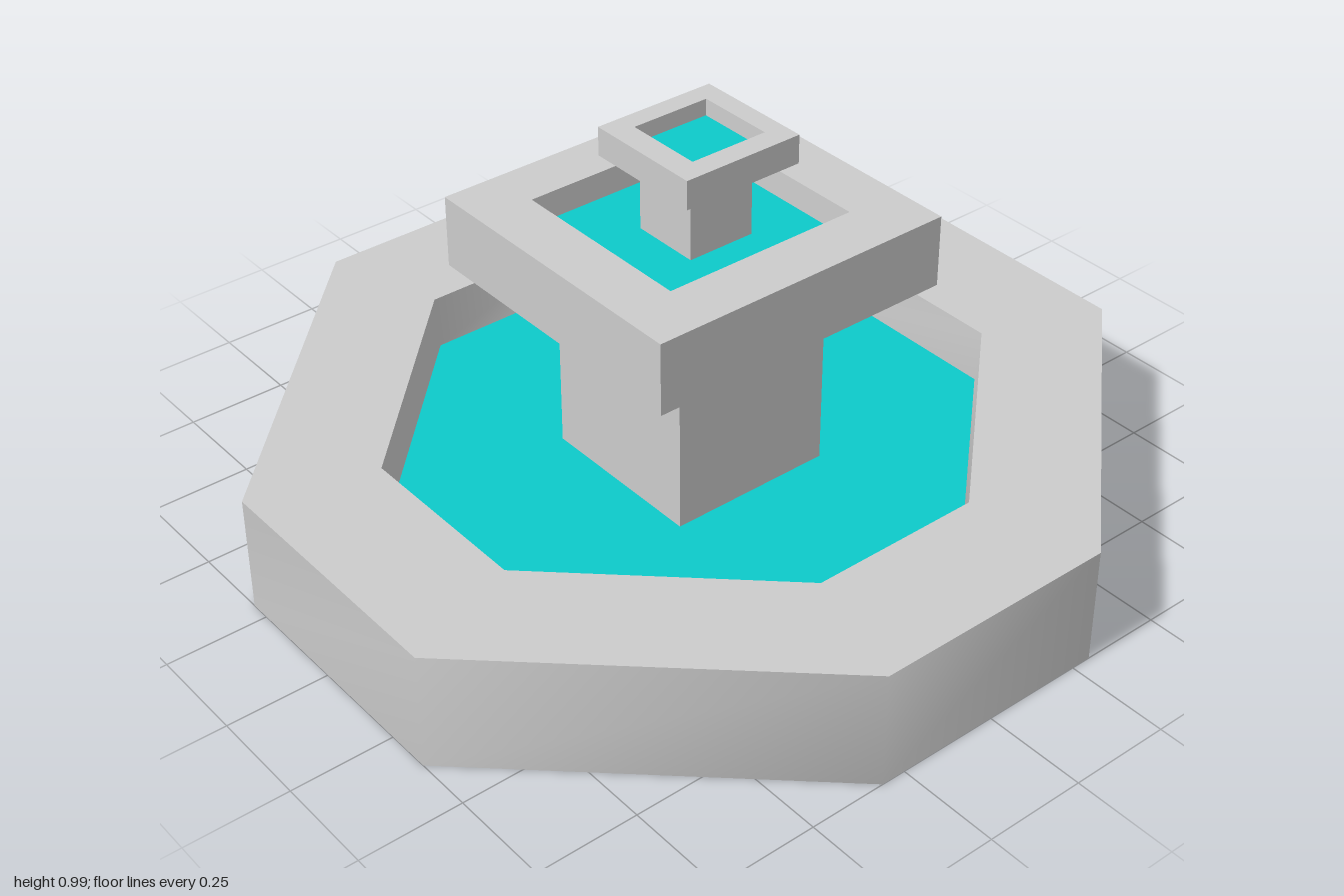
import * as THREE from 'three';
import { toCreasedNormals } from 'three/addons/utils/BufferGeometryUtils.js';

const stone = new THREE.MeshStandardMaterial({ color: 0xcccccc });
const water = new THREE.MeshStandardMaterial({ color: 0x0dcaca });

// Loops of [x, z] corners, clockwise as seen from above
const rect = (x0, x1, z0, z1) => [[x0, z0], [x1, z0], [x1, z1], [x0, z1]];
const octagon = (r, xa, xb, za, zb) => [
  [xa, -r], [xb, -r], [r, za], [r, zb], [xb, r], [xa, r], [-r, zb], [-r, za],
];
const shrink = (loop, k) => loop.map(([x, z]) => [x * k, z * k]);

// Skin a series of [loop, y] levels; the first loop is closed underneath
function loft(levels) {
  const pos = [];
  const rings = levels.map(([loop, y]) => loop.map(([x, z]) => [x, y, z]));
  const n = rings[0].length;
  for (let r = 0; r + 1 < rings.length; r++) {
    for (let i = 0; i < n; i++) {
      const j = (i + 1) % n;
      const a0 = rings[r][i], b0 = rings[r][j];
      const a1 = rings[r + 1][i], b1 = rings[r + 1][j];
      pos.push(...b0, ...a0, ...a1, ...b0, ...a1, ...b1);
    }
  }
  for (let i = 1; i + 1 < n; i++) pos.push(...rings[0][0], ...rings[0][i], ...rings[0][i + 1]);
  const geo = new THREE.BufferGeometry();
  geo.setAttribute('position', new THREE.Float32BufferAttribute(pos, 3));
  return toCreasedNormals(geo, 0.9);
}

// Flat upward-facing sheet filling a loop
function sheet(loop, y) {
  const pos = [];
  const p = loop.map(([x, z]) => [x, y, z]);
  for (let i = 1; i + 1 < p.length; i++) pos.push(...p[0], ...p[i + 1], ...p[i]);
  const geo = new THREE.BufferGeometry();
  geo.setAttribute('position', new THREE.Float32BufferAttribute(pos, 3));
  geo.computeVertexNormals();
  return geo;
}

function add(parent, name, geo, mat) {
  const mesh = new THREE.Mesh(geo, mat);
  mesh.name = name;
  parent.add(mesh);
}

// Stone vessel with a slightly tapered hollow, filled with water
function vessel(name, base, outer, inner, yBase, yLow, yTop, yWater) {
  const group = new THREE.Group();
  group.name = name;
  const pool = shrink(inner, 0.987);
  const levels = [[outer, yLow], [outer, yTop], [inner, yTop], [pool, yWater]];
  if (base) levels.unshift([base, yBase]);
  add(group, name + 'Stone', loft(levels), stone);
  add(group, name + 'Water', sheet(pool, yWater), water);
  return group;
}

function pillar(name, x0, x1, z0, z1, y0, y1) {
  const geo = new THREE.BoxGeometry(x1 - x0, y1 - y0, z1 - z0);
  geo.translate((x0 + x1) / 2, (y0 + y1) / 2, (z0 + z1) / 2);
  const mesh = new THREE.Mesh(geo, stone);
  mesh.name = name;
  return mesh;
}

export function createModel() {
  const fountain = new THREE.Group();
  fountain.name = 'fountain';
  fountain.add(
    // Wide octagonal pool on the ground
    vessel('basin', null, octagon(1, -0.3, 0.36, -0.3, 0.31),
      octagon(0.7, -0.21, 0.25, -0.21, 0.22), 0, 0, 0.29, 0.16),
    pillar('lowerPillar', -0.19, 0.24, -0.195, 0.22, 0.14, 0.63),
    // Square middle bowl with a shallow sloped underside
    vessel('middleBowl', rect(-0.3, 0.34, -0.29, 0.31), rect(-0.35, 0.4, -0.38, 0.4),
      rect(-0.22, 0.26, -0.24, 0.26), 0.622, 0.63, 0.805, 0.74),
    pillar('upperPillar', -0.06, 0.113, -0.087, 0.085, 0.72, 0.925),
    // Small square bowl at the top
    vessel('topBowl', null, rect(-0.12, 0.18, -0.16, 0.15),
      rect(-0.07, 0.125, -0.11, 0.09), 0.92, 0.92, 0.99, 0.95),
  );
  return fountain;
}
